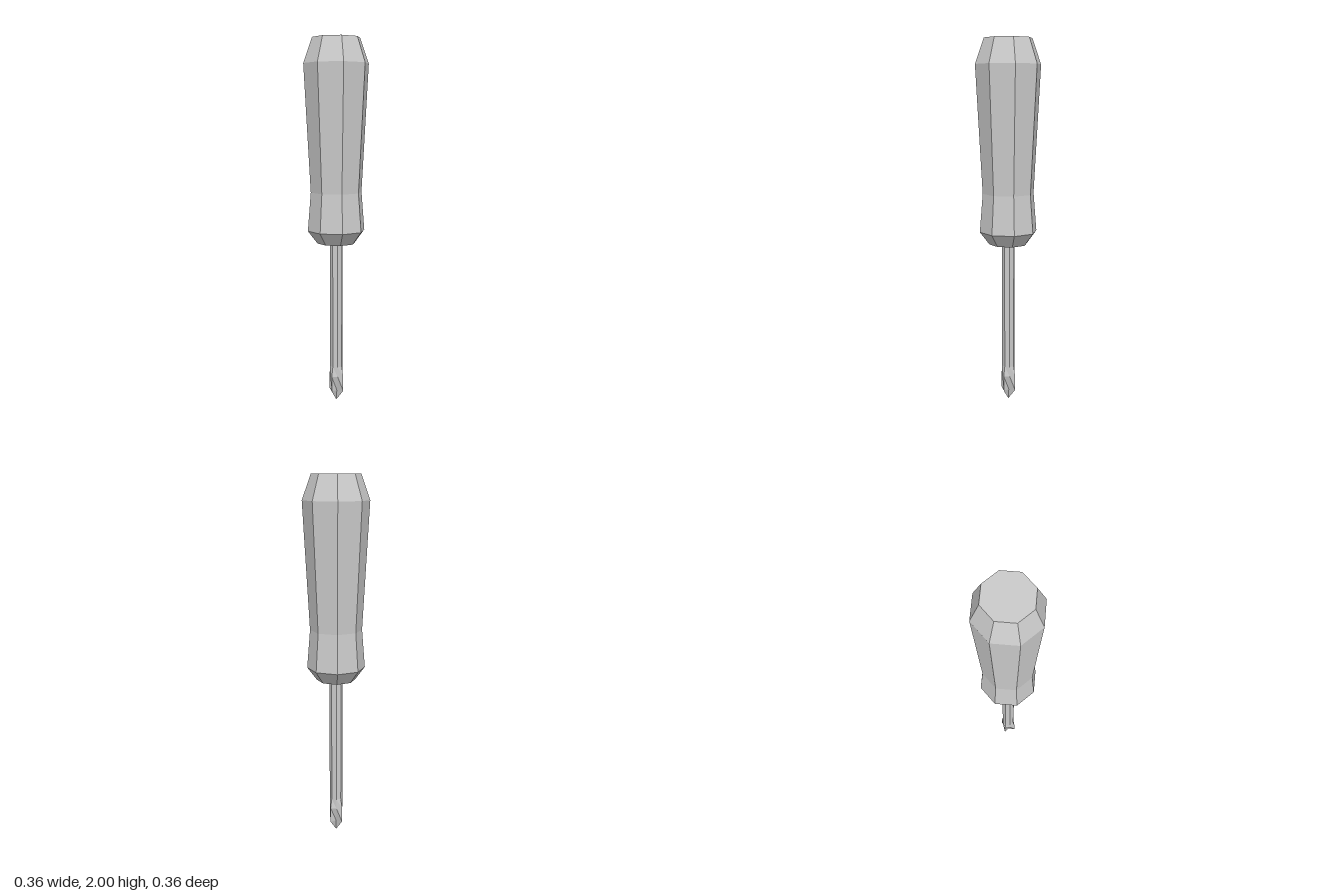
import * as THREE from 'three';

const SIDES = 8;

// Faceted octagonal solid from rows of [y, radius], listed bottom to top
function faceted(name, rows) {
  const points = rows.map(([y, r]) => new THREE.Vector2(r, y));
  const material = new THREE.MeshStandardMaterial({ color: 0xcccccc, flatShading: true });
  const mesh = new THREE.Mesh(new THREE.LatheGeometry(points, SIDES), material);
  mesh.name = name;
  return mesh;
}

export function createModel() {
  const model = new THREE.Group();
  model.name = 'screwdriver';

  // Handle: chamfered ends and a narrow waist
  model.add(faceted('handle', [
    [0.9, 0], [0.9, 0.105], [0.97, 0.158], [1.18, 0.141],
    [1.865, 0.178], [2, 0.13], [2, 0],
  ]));

  // Shaft
  model.add(faceted('shaft', [[0.2, 0.036], [0.905, 0.036]]));

  // Cross tip: rows of [y, ridge radius, groove radius]
  const rows = [[0, 0, 0], [0.06, 0.046, 0.014], [0.145, 0.046, 0.036], [0.2, 0.036, 0.036]];
  const tip = faceted('crossTip', rows);
  const pos = tip.geometry.attributes.position;
  for (let i = 0; i < pos.count; i++) {
    const side = Math.floor(i / rows.length);
    const [, ridge, groove] = rows[i % rows.length];
    // Every other corner is pulled in to cut a groove
    if (side % 2 === 1 && ridge > 0) {
      const k = groove / ridge;
      pos.setX(i, pos.getX(i) * k);
      pos.setZ(i, pos.getZ(i) * k);
    }
  }
  tip.geometry.computeVertexNormals();
  model.add(tip);

  return model;
}
